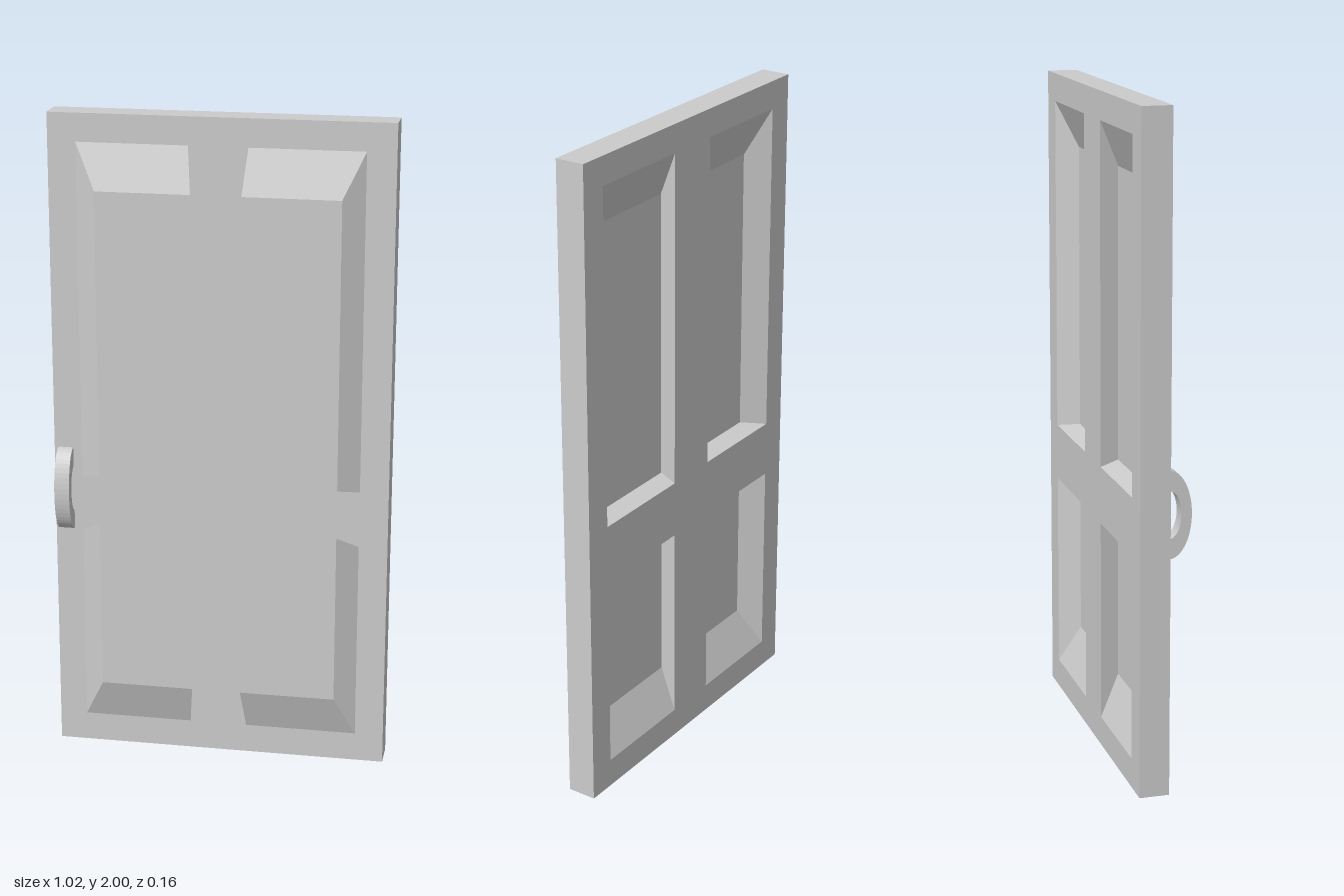
import * as THREE from 'three';

const BACK = -0.08, FRONT = 0.01, RAISED = 0.055, RECESS = -0.022;
const W = 0.512, H = 2;

const material = new THREE.MeshStandardMaterial({ color: 0xcccccc, flatShading: true });

function mesh(name, geometry, mat = material) {
  const m = new THREE.Mesh(geometry, mat);
  m.name = name;
  return m;
}

// Rectangle [x0, y0, x1, y1] as four corners, counter-clockwise from the front
const corners = ([x0, y0, x1, y1]) => [[x0, y0], [x1, y0], [x1, y1], [x0, y1]];

// Four walls from rectangle a at za to rectangle b at zb, closed by a cap on b.
// With inward = true the faces show from the back, as a sunken tray.
function tray(a, za, b, zb, inward = false) {
  const A = corners(a).map(([x, y]) => [x, y, za]);
  const B = corners(b).map(([x, y]) => [x, y, zb]);
  const quads = [B];
  for (let i = 0; i < 4; i++) {
    const j = (i + 1) % 4;
    quads.push([A[i], A[j], B[j], B[i]]);
  }
  const pos = [];
  for (const q of quads) {
    const [p, r, s, t] = inward ? [...q].reverse() : q;
    pos.push(...p, ...r, ...s, ...p, ...s, ...t);
  }
  const g = new THREE.BufferGeometry();
  g.setAttribute('position', new THREE.Float32BufferAttribute(pos, 3));
  g.computeVertexNormals();
  return g;
}

export function createModel() {
  const door = new THREE.Group();
  door.name = 'door';

  // Panels: rim lies on the slab, face is the raised (front) or sunken (back) flat
  const rows = [
    { name: 'upper', rim: [0.885, 1.915], face: [0.9, 1.78] },
    { name: 'lower', rim: [0.09, 0.71], face: [0.22, 0.75] },
  ];
  const columns = [
    { name: 'Right', rim: [-0.428, -0.094], face: [-0.364, -0.08] },
    { name: 'Left', rim: [0.083, 0.425], face: [0.07, 0.362] },
  ];
  const panels = [];
  for (const r of rows) for (const c of columns) {
    const rect = k => [c[k][0], r[k][0], c[k][1], r[k][1]];
    panels.push({ name: r.name + c.name, rim: rect('rim'), face: rect('face') });
  }

  // Slab: front face and edges, then a back face pierced by the panel recesses
  const outline = [-W, 0, W, H];
  door.add(mesh('slab', tray(outline, BACK, outline, FRONT)));

  const toPoints = r => corners(r).map(([x, y]) => new THREE.Vector2(-x, y));
  const backShape = new THREE.Shape(toPoints(outline));
  for (const p of panels) backShape.holes.push(new THREE.Path(toPoints(p.rim)));
  const back = mesh('backFace', new THREE.ShapeGeometry(backShape));
  back.rotation.y = Math.PI;
  back.position.z = BACK;
  door.add(back);

  for (const p of panels) {
    door.add(mesh(p.name + 'RaisedPanel', tray(p.rim, FRONT, p.face, RAISED)));
    door.add(mesh(p.name + 'BackRecess', tray(p.rim, BACK, p.face, RECESS, true)));
  }

  // Handle: half-elliptical bow, drawn as (z, y) and extruded across the door
  const bow = new THREE.Shape();
  bow.moveTo(0, -0.13);
  bow.absellipse(0, 0, 0.066, 0.13, -Math.PI / 2, Math.PI / 2, false);
  bow.lineTo(0, 0.07);
  bow.absellipse(0, 0, 0.035, 0.07, Math.PI / 2, -Math.PI / 2, true);
  bow.closePath();
  const handle = mesh('handle', new THREE.ExtrudeGeometry(bow, {
    depth: 0.046, bevelEnabled: false, curveSegments: 12,
  }));
  handle.rotation.y = -Math.PI / 2; // shape x becomes +z, depth becomes -x
  handle.position.set(-0.454, 0.845, FRONT);
  door.add(handle);

  return door;
}
